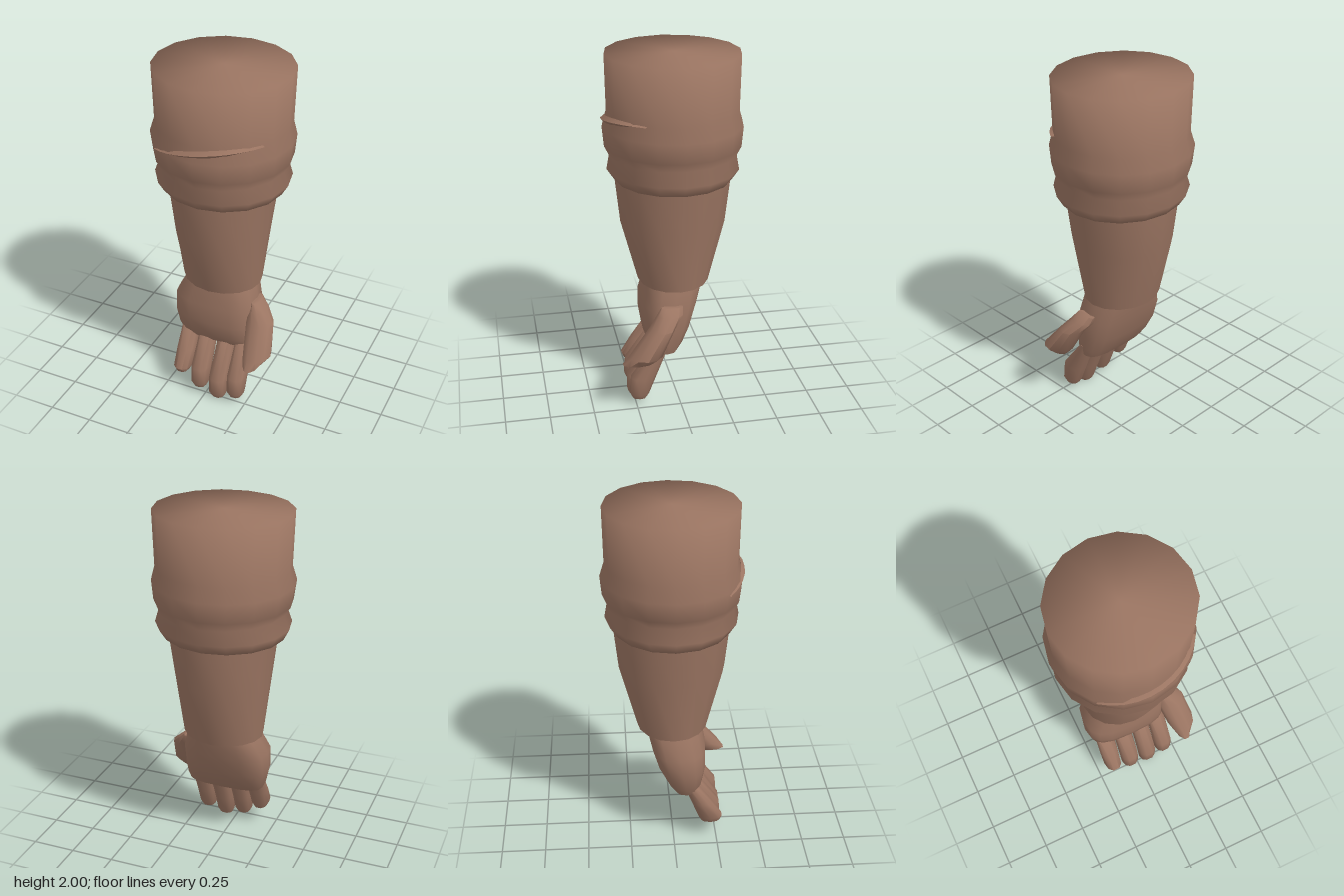
import * as THREE from 'three';
import { toCreasedNormals } from 'three/addons/utils/BufferGeometryUtils.js';

const skin = new THREE.MeshStandardMaterial({ color: 0x9b7562 });
skin.name = 'brown';

// Closed skin over a list of rings, each an array of [x, y, z]
function loft(rings, crease) {
  const n = rings[0].length;
  const pos = rings.flat(2);
  const index = [];
  for (let i = 0; i < rings.length - 1; i++) {
    for (let j = 0; j < n; j++) {
      const k = (j + 1) % n;
      const a = i * n + j, b = i * n + k, c = a + n, d = b + n;
      index.push(a, b, c, b, d, c);
    }
  }
  const cap = (ring, first, flip) => {
    const centre = pos.length / 3;
    for (let axis = 0; axis < 3; axis++) pos.push(ring.reduce((s, p) => s + p[axis], 0) / n);
    for (let j = 0; j < n; j++) {
      const a = first + j, b = first + (j + 1) % n;
      index.push(centre, flip ? b : a, flip ? a : b);
    }
  };
  cap(rings[0], 0, true);
  cap(rings[rings.length - 1], (rings.length - 1) * n, false);
  const g = new THREE.BufferGeometry();
  g.setAttribute('position', new THREE.Float32BufferAttribute(pos, 3));
  g.setIndex(index);
  return toCreasedNormals(g, crease);
}

// Horizontal sections from top to bottom: [y, xMin, xMax, zMin, zMax]; power < 1 squares them off
function sections(list, sides, power = 1) {
  const bend = (v) => Math.sign(v) * Math.pow(Math.abs(v), power);
  return list.map(([y, x0, x1, z0, z1]) => Array.from({ length: sides }, (_, j) => {
    const a = (j / sides) * Math.PI * 2;
    return [
      (x0 + x1) / 2 + bend(Math.cos(a)) * (x1 - x0) / 2,
      y,
      (z0 + z1) / 2 + bend(Math.sin(a)) * (z1 - z0) / 2,
    ];
  }));
}

export function createModel() {
  const group = new THREE.Group();
  const add = (name, rings, crease) => {
    const mesh = new THREE.Mesh(loft(rings, crease), skin);
    mesh.name = name;
    group.add(mesh);
  };

  // Rolled sleeve with two bulging folds
  add('sleeve', sections([
    [2, -0.38, 0.38, -0.365, 0.365],
    [1.69, -0.37, 0.37, -0.36, 0.36],
    [1.61, -0.395, 0.39, -0.385, 0.385],
    [1.5, -0.38, 0.38, -0.375, 0.375],
    [1.45, -0.345, 0.35, -0.35, 0.35],
    [1.37, -0.375, 0.375, -0.365, 0.365],
    [1.31, -0.345, 0.34, -0.325, 0.325],
  ], 16), Math.PI);

  // Raised slit that wraps the front of the sleeve
  const slit = [];
  for (let i = 0; i <= 10; i++) {
    const t = i / 10;
    const a = -0.75 + 1.76 * t;
    const r = 0.394 - 0.014 * t;
    const y = 1.59 + 0.1 * Math.sin(t * Math.PI / 2);
    const h = 0.001 + 0.02 * Math.sin(Math.PI * t);
    const at = (radius, height) => [Math.sin(a) * radius, height, Math.cos(a) * radius];
    slit.push([at(r - 0.02, y + h), at(r, y), at(r - 0.02, y - h)]);
  }
  add('sleeveSlit', slit, 0.6);

  // Tapering forearm cuff
  add('forearm', sections([
    [1.34, -0.305, 0.303, -0.325, 0.325],
    [1.06, -0.27, 0.265, -0.295, 0.295],
    [0.7, -0.232, 0.227, -0.2, 0.2],
  ], 16), 0.8);

  // Palm, leaning forward
  add('palm', sections([
    [0.72, -0.195, 0.195, -0.155, 0.165],
    [0.69, -0.205, 0.205, -0.15, 0.17],
    [0.58, -0.26, 0.237, -0.122, 0.19],
    [0.46, -0.26, 0.24, -0.085, 0.19],
    [0.37, -0.238, 0.24, -0.04, 0.175],
    [0.32, -0.215, 0.23, -0.005, 0.15],
  ], 16, 0.7), 0.9);

  // Thumb, reaching forward and out
  add('thumb', sections([
    [0.618, 0.21, 0.255, -0.015, 0.11],
    [0.58, 0.195, 0.3, -0.01, 0.135],
    [0.52, 0.195, 0.36, 0.04, 0.18],
    [0.37, 0.225, 0.386, 0.115, 0.3],
    [0.32, 0.25, 0.34, 0.16, 0.34],
  ], 10), 0.9);

  // Four fingers: centre x and height of the tip
  const fingers = [[-0.16, 0.112], [-0.045, 0.038], [0.073, 0], [0.184, 0.038]];
  for (const [x, tip] of fingers) {
    const mid = tip + 0.13;
    const back = (y) => 0.2 - y * 0.39;
    const front = (y) => Math.min(0.285, 0.145 + (0.345 - y) * 0.75);
    const row = (y, w) => [y, x - w, x + w, back(y), front(y)];
    add('finger', sections([
      row(0.38, 0.055),
      row(mid, 0.056),
      row(tip + 0.03, 0.052),
      [tip, x - 0.037, x + 0.037, back(tip) + 0.005, 0.27],
    ], 10, 0.85), 1.0);
  }
  return group;
}
